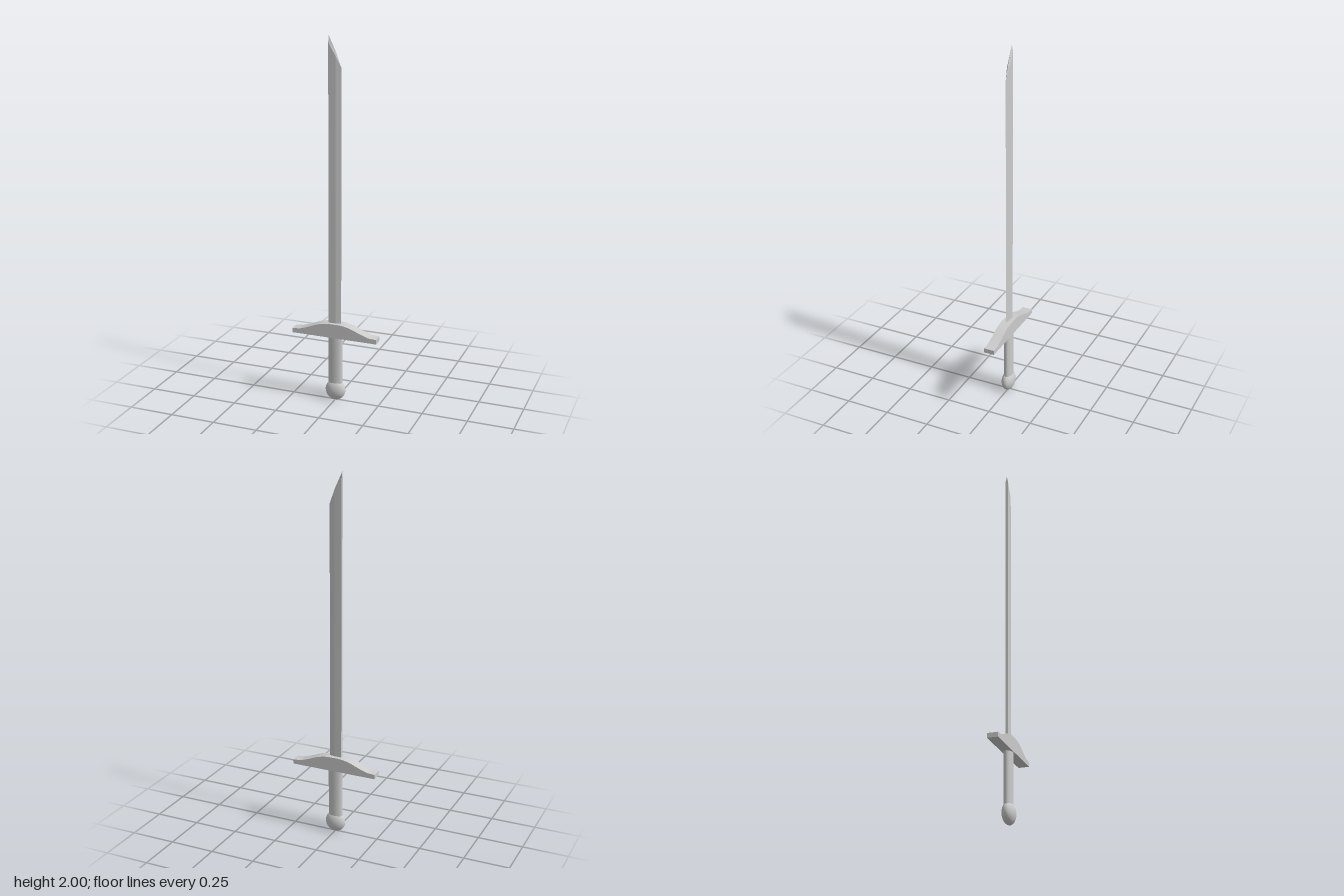
import * as THREE from 'three';
import { toCreasedNormals } from 'three/addons/utils/BufferGeometryUtils.js';

const material = new THREE.MeshStandardMaterial({ color: 0xcccccc });

function addPart(group, name, geometry) {
  const mesh = new THREE.Mesh(geometry, material);
  mesh.name = name;
  group.add(mesh);
  return mesh;
}

// Single-edged blade: thick spine at -x, cutting edge at +x, ridged slanted tip
function bladeGeometry() {
  const base = 0.4;
  // x, z and top height of each corner, counter-clockwise from above
  const ring = [
    [-0.037, 0, 2.0], [-0.037, 0.007, 1.965], [0.003, 0.007, 1.895],
    [0.033, 0, 1.835], [0.003, -0.007, 1.895], [-0.037, -0.007, 1.965],
  ];
  const ridge = [0.003, 1.915, 0];
  const floor = [0, base, 0];
  const positions = [];
  ring.forEach(([x, z, top], i) => {
    const [x2, z2, top2] = ring[(i + 1) % ring.length];
    const a = [x, base, z], b = [x2, base, z2], c = [x2, top2, z2], d = [x, top, z];
    positions.push(...a, ...b, ...c, ...a, ...c, ...d, ...ridge, ...d, ...c, ...floor, ...b, ...a);
  });
  const geometry = new THREE.BufferGeometry();
  geometry.setAttribute('position', new THREE.Float32BufferAttribute(positions, 3));
  geometry.computeVertexNormals();
  return geometry;
}

// Crossguard: flat underside and a bow-shaped top that swells in the middle
function guardGeometry() {
  const topCurve = [
    [0.2, 0.4], [0.15, 0.417], [0.1, 0.437], [0.05, 0.449], [0, 0.451],
    [-0.05, 0.449], [-0.1, 0.437], [-0.15, 0.417], [-0.2, 0.4],
  ].map(([x, y]) => new THREE.Vector2(x, y));
  const shape = new THREE.Shape();
  shape.moveTo(-0.244, 0.372);
  shape.lineTo(0.244, 0.372);
  shape.lineTo(0.244, 0.397);
  shape.lineTo(0.2, 0.4);
  shape.splineThru(topCurve.slice(1));
  shape.lineTo(-0.244, 0.397);
  shape.closePath();
  const depth = 0.058;
  const geometry = new THREE.ExtrudeGeometry(shape, { depth, bevelEnabled: false, curveSegments: 4 });
  geometry.translate(0, 0, -depth / 2 - 0.001);
  return toCreasedNormals(geometry, 0.5);
}

export function createModel() {
  const sword = new THREE.Group();
  sword.name = 'sword';

  addPart(sword, 'blade', bladeGeometry());
  addPart(sword, 'crossguard', guardGeometry());

  // Oval grip
  const grip = addPart(sword, 'grip', new THREE.CylinderGeometry(0.041, 0.04, 0.31, 32));
  grip.position.set(-0.001, 0.235, -0.001);
  grip.scale.z = 0.56;

  // Flattened ball pommel
  const pommel = addPart(sword, 'pommel', new THREE.SphereGeometry(1, 32, 20));
  pommel.position.set(0, 0.058, 0);
  pommel.scale.set(0.057, 0.058, 0.034);

  return sword;
}
